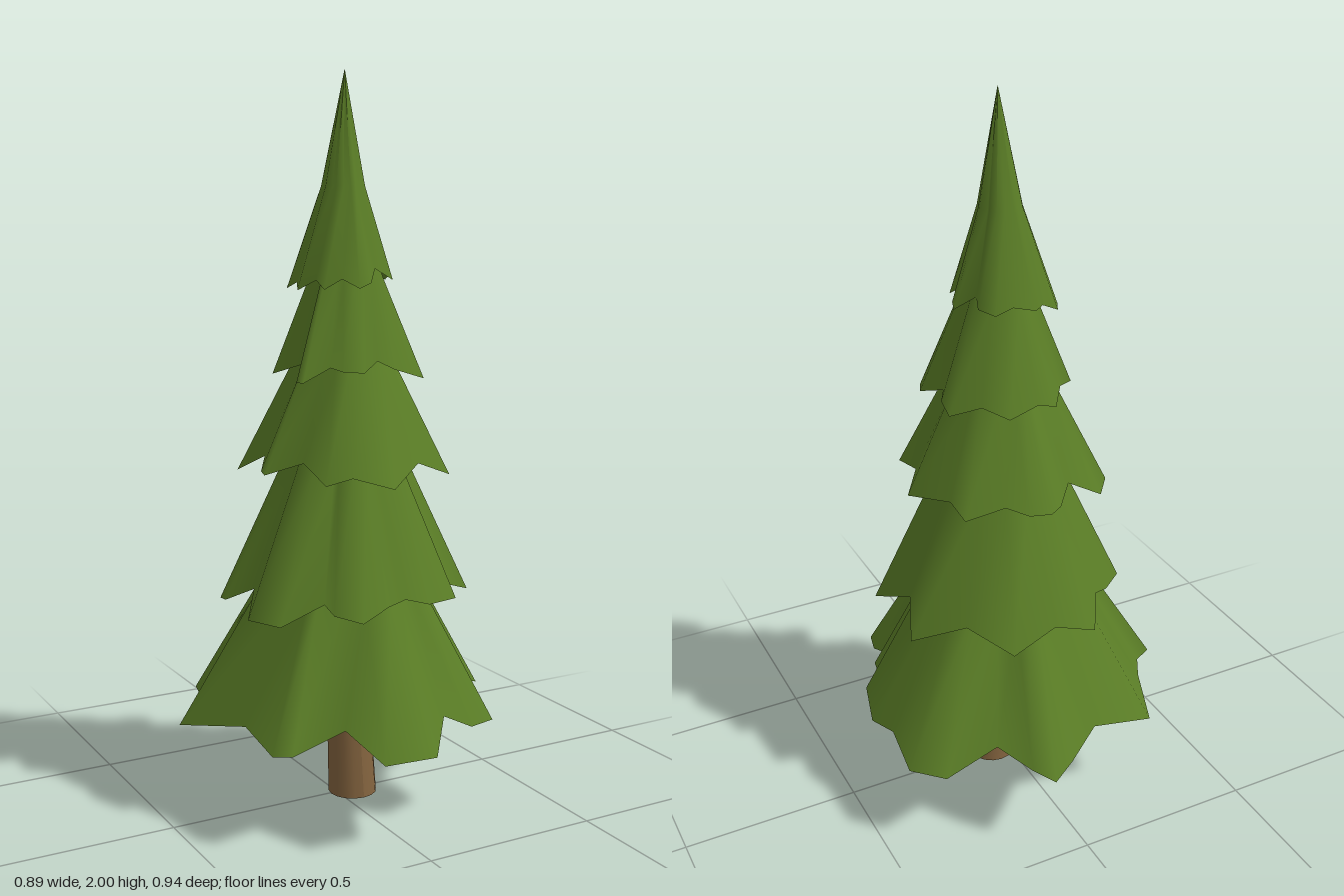
import * as THREE from 'three';

const foliage = new THREE.MeshStandardMaterial({ color: 0x5a7d26, side: THREE.DoubleSide });
foliage.name = 'pine green';
const bark = new THREE.MeshStandardMaterial({ color: 0x84643f });
bark.name = 'bark brown';

// Ragged rim outlines of the tiers, as x, z pairs
const rim1 = [0.445, -0.04, 0.41, 0.09, 0.36, 0.12, 0.35, 0.17, 0.31, 0.19, 0.32, 0.25, 0.295, 0.34,
  0.2, 0.38, 0.135, 0.345, 0.035, 0.47, -0.11, 0.455, -0.15, 0.32, -0.3, 0.315, -0.34, 0.28,
  -0.345, 0.13, -0.445, -0.08, -0.37, -0.14, -0.33, -0.21, -0.275, -0.365, -0.09, -0.368,
  0.02, -0.44, 0.09, -0.475, 0.135, -0.425, 0.195, -0.33, 0.35, -0.335, 0.425, -0.255, 0.415, -0.12];
const rim2 = [0.3, 0, 0.36, 0.11, 0.25, 0.18, 0.23, 0.25, 0.115, 0.3, 0.05, 0.285, -0.01, 0.3,
  -0.1, 0.325, -0.155, 0.27, -0.16, 0.225, -0.28, 0.21, -0.325, 0.11, -0.255, 0, -0.31, -0.065,
  -0.305, -0.11, -0.22, -0.19, -0.175, -0.21, -0.11, -0.32, 0, -0.295, 0.14, -0.325, 0.22, -0.2, 0.355, -0.13];
const rim3 = [0.295, 0, 0.24, 0.07, 0.23, 0.21, 0.125, 0.22, 0, 0.31, -0.09, 0.25, -0.16, 0.235,
  -0.17, 0.13, -0.25, 0.06, -0.245, 0.03, -0.2, -0.04, -0.235, -0.14, -0.18, -0.21, -0.09, -0.19,
  -0.035, -0.25, 0, -0.265, 0.06, -0.255, 0.11, -0.215, 0.215, -0.19, 0.225, -0.12];
const rim4 = [0.18, 0.01, 0.21, 0.095, 0.19, 0.14, 0.08, 0.17, 0.04, 0.15, -0.02, 0.185, -0.07, 0.16,
  -0.09, 0.13, -0.165, 0.12, -0.175, 0.1, -0.13, 0.05, -0.17, -0.05, -0.11, -0.1, -0.06, -0.17,
  -0.01, -0.165, 0.08, -0.18, 0.13, -0.12, 0.205, -0.08, 0.2, -0.02];
const rim5 = [0.15, 0, 0.14, 0.03, 0.11, 0.06, 0.115, 0.1, 0.06, 0.1, 0.02, 0.15, -0.02, 0.16,
  -0.05, 0.12, -0.1, 0.115, -0.1, 0.07, -0.14, 0.04, -0.12, 0, -0.13, -0.04, -0.11, -0.08,
  -0.06, -0.09, -0.03, -0.11, 0.03, -0.1, 0.08, -0.1, 0.11, -0.06, 0.1, -0.03];

const CX = 0.015, CZ = 0.015;

// Skirt of branches: a fluted rim narrowing through two rings; notches sit higher than tips
function tier(name, rim, y0, lift, yMid, rMid, yTop, rTop) {
  const n = rim.length / 2, pos = [], idx = [];
  const radii = Array.from({ length: n }, (_, i) => Math.hypot(rim[2 * i] - CX, rim[2 * i + 1] - CZ));
  const rMax = Math.max(...radii);
  const mean = radii.reduce((a, b) => a + b, 0) / n;
  const rings = [[y0, mean, 1], [yMid, rMid, 0.75], [yTop, rTop, 0.3]];
  rings.forEach(([y, r, flute], k) => {
    for (let i = 0; i < n; i++) {
      const dx = rim[2 * i] - CX, dz = rim[2 * i + 1] - CZ;
      const s = (r / radii[i]) * (1 + flute * (radii[i] / mean - 1));
      pos.push(CX + dx * s, y + (k === 0 ? lift * (rMax - radii[i]) : 0), CZ + dz * s);
      if (k < 2) {
        const a = k * n + i, b = k * n + (i + 1) % n;
        idx.push(a, a + n, b, b, a + n, b + n);
      }
    }
  });
  const geo = new THREE.BufferGeometry();
  geo.setAttribute('position', new THREE.Float32BufferAttribute(pos, 3));
  geo.setIndex(idx);
  geo.computeVertexNormals();
  const mesh = new THREE.Mesh(geo, foliage);
  mesh.name = name;
  return mesh;
}

export function createModel() {
  const tree = new THREE.Group();
  tree.name = 'pineTree';

  // Trunk, leaning slightly as it rises inside the branches
  const trunkGeo = new THREE.CylinderGeometry(0.035, 0.068, 1.2, 16, 4);
  trunkGeo.translate(0, 0.6, 0);
  const p = trunkGeo.attributes.position;
  for (let i = 0; i < p.count; i++) {
    p.setX(i, p.getX(i) + 0.047 - 0.03 * Math.min(1, p.getY(i) / 0.6));
    p.setZ(i, p.getZ(i) + 0.006);
  }
  trunkGeo.computeVertexNormals();
  const trunk = new THREE.Mesh(trunkGeo, bark);
  trunk.name = 'trunk';
  tree.add(trunk);

  // Five overlapping tiers of branches, bottom to top
  tree.add(
    tier('lowestBranches', rim1, 0.24, 0.5, 0.62, 0.225, 0.9, 0.11),
    tier('lowerBranches', rim2, 0.57, 0.6, 0.95, 0.165, 1.2, 0.08),
    tier('middleBranches', rim3, 0.93, 0.7, 1.22, 0.135, 1.42, 0.06),
    tier('upperBranches', rim4, 1.19, 0.7, 1.45, 0.095, 1.65, 0.035),
    tier('treetop', rim5, 1.43, 0.9, 1.7, 0.055, 2, 0.0005),
  );
  return tree;
}
